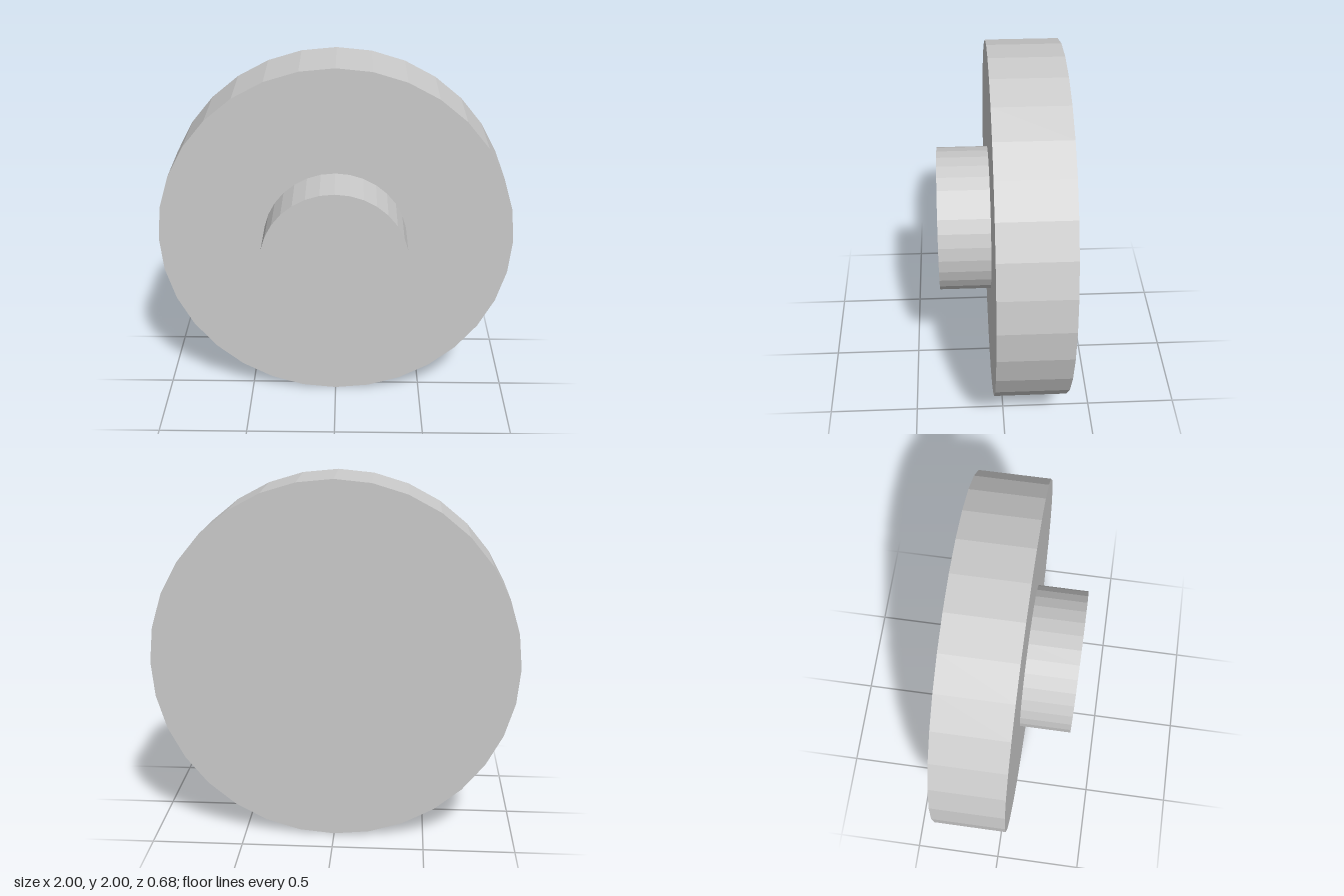
import * as THREE from 'three';

const SIDES = 32;

// Faceted cylinder lying along z between two depths
function disc(name, radius, zBack, zFront, x, y, material) {
  const geometry = new THREE.CylinderGeometry(radius, radius, zFront - zBack, SIDES);
  geometry.rotateX(Math.PI / 2);
  const mesh = new THREE.Mesh(geometry, material);
  mesh.name = name;
  mesh.position.set(x, y, (zBack + zFront) / 2);
  return mesh;
}

export function createModel() {
  const material = new THREE.MeshStandardMaterial({ color: 0xcccccc, flatShading: true });
  const model = new THREE.Group();
  model.name = 'wheelWithHub';

  // Large wheel at the back, smaller hub standing out of its front face
  model.add(disc('wheel', 1, -0.342, 0.058, 0, 1, material));
  model.add(disc('hub', 0.404, 0.05, 0.342, -0.002, 1.003, material));
  return model;
}
